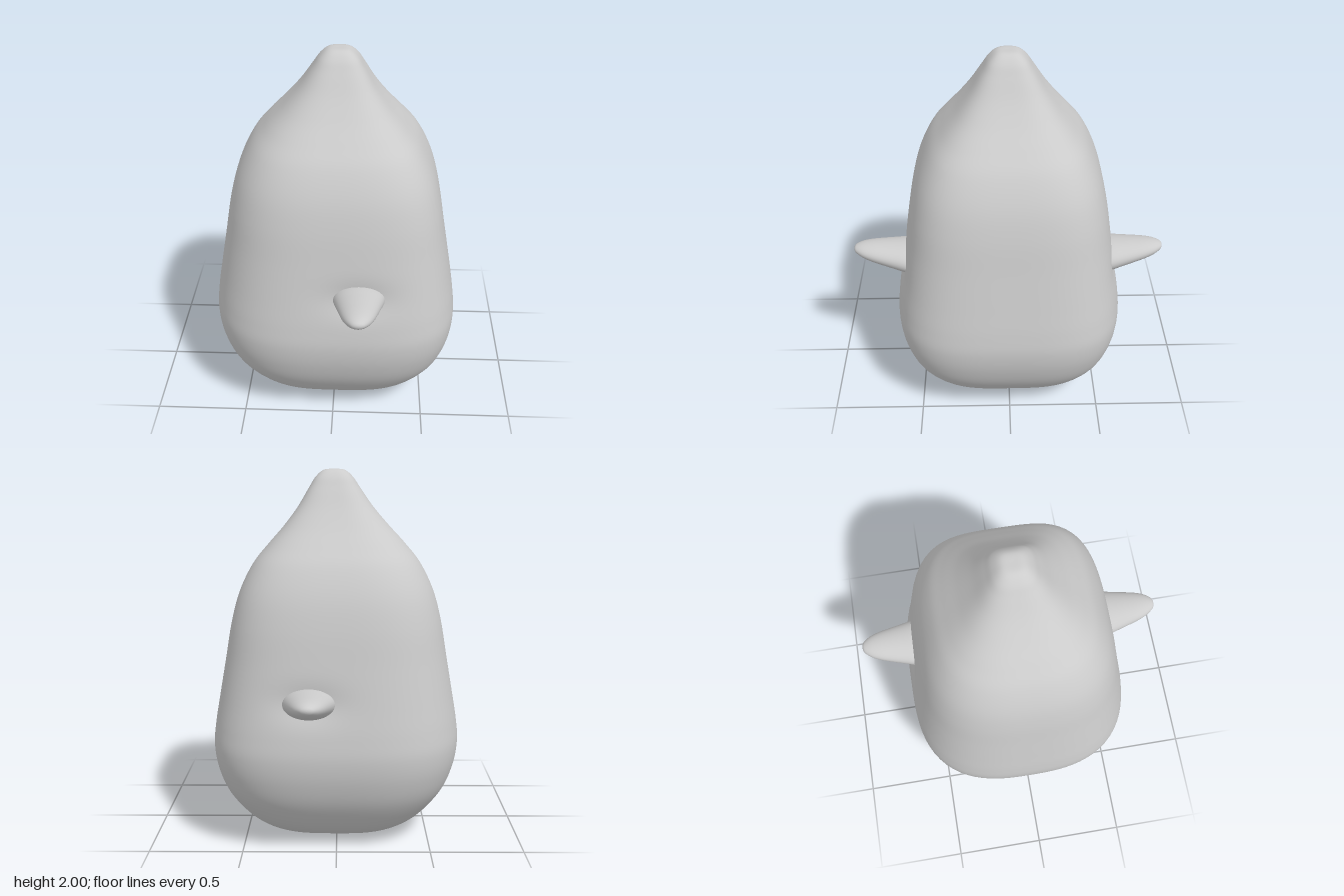
import * as THREE from 'three';
import { mergeVertices } from 'three/addons/utils/BufferGeometryUtils.js';

const HORN_X = 0.14, HORN_Y = 0.83;

// Smooth lathe from a few [radius, height] points, welded so the seam can be reshaped
function smoothLathe(points, steps, sides) {
  const curve = new THREE.SplineCurve(points.map(([r, h]) => new THREE.Vector2(r, h)));
  const profile = curve.getPoints(steps).map(p => p.setX(Math.max(p.x, 0)));
  const geo = new THREE.LatheGeometry(profile, sides);
  geo.deleteAttribute('uv');
  geo.deleteAttribute('normal');
  return mergeVertices(geo, 1e-5);
}

// Move every vertex by a rule, then rebuild the normals
function reshape(geo, rule) {
  const pos = geo.attributes.position, v = new THREE.Vector3();
  for (let i = 0; i < pos.count; i++) {
    rule(v.fromBufferAttribute(pos, i));
    pos.setXYZ(i, v.x, v.y, v.z);
  }
  geo.computeVertexNormals();
  return geo;
}

// Plump body with rounded-square cross-sections and a blunt peak
function bodyGeometry() {
  const geo = smoothLathe([
    [0, 0], [0.13, 0.001], [0.26, 0.006], [0.37, 0.04], [0.49, 0.125], [0.6, 0.265],
    [0.655, 0.4], [0.675, 0.53], [0.665, 0.65], [0.64, 0.8], [0.605, 1.0], [0.57, 1.2],
    [0.525, 1.36], [0.455, 1.5], [0.375, 1.6], [0.285, 1.7], [0.205, 1.8], [0.14, 1.9],
    [0.1, 1.96], [0.055, 1.996], [0, 2],
  ], 140, 96);
  return reshape(geo, v => {
    const r = Math.hypot(v.x, v.z);
    if (r > 1e-6) {
      const s = v.x / r, c = v.z / r;
      const n = 3.2 + 0.4 * s;
      const square = Math.pow(Math.abs(s) ** n + Math.abs(c) ** n, -1 / n);
      v.x *= square;
      v.z *= square * (0.93 + 0.05 * THREE.MathUtils.smoothstep(v.y, 1.6, 1.9));
    }
    // peak leans slightly to its left
    v.x += 0.015 * THREE.MathUtils.smoothstep(v.y, 1.6, 2);
    // shallow dent around each horn
    if (Math.abs(v.z) > 0.4) {
      const dent = Math.exp(-(((v.x - HORN_X) / 0.17) ** 2) - ((v.y - HORN_Y) / 0.09) ** 2);
      v.z -= Math.sign(v.z) * 0.025 * dent;
    }
  });
}

// Flattened horn along +z whose underside rises toward the tip
function hornGeometry() {
  const geo = smoothLathe([
    [0.145, 0.5], [0.135, 0.57], [0.12, 0.63], [0.102, 0.7], [0.085, 0.76],
    [0.064, 0.81], [0.038, 0.845], [0.018, 0.857], [0, 0.86],
  ], 40, 40);
  geo.rotateX(Math.PI / 2);
  return reshape(geo, v => {
    v.y = -v.y * -0.6 + HORN_Y + 0.005 + (v.z - 0.6) * 0.16;
  });
}

export function createModel() {
  const group = new THREE.Group();
  const material = new THREE.MeshStandardMaterial({ color: 0xcccccc });

  const body = new THREE.Mesh(bodyGeometry(), material);
  body.name = 'body';
  group.add(body);

  // Matching horns on the front and back faces
  const horn = hornGeometry();
  for (const [name, turn] of [['frontHorn', 0], ['backHorn', Math.PI]]) {
    const mesh = new THREE.Mesh(horn, material);
    mesh.name = name;
    mesh.position.x = HORN_X;
    mesh.rotation.y = turn;
    group.add(mesh);
  }
  return group;
}
